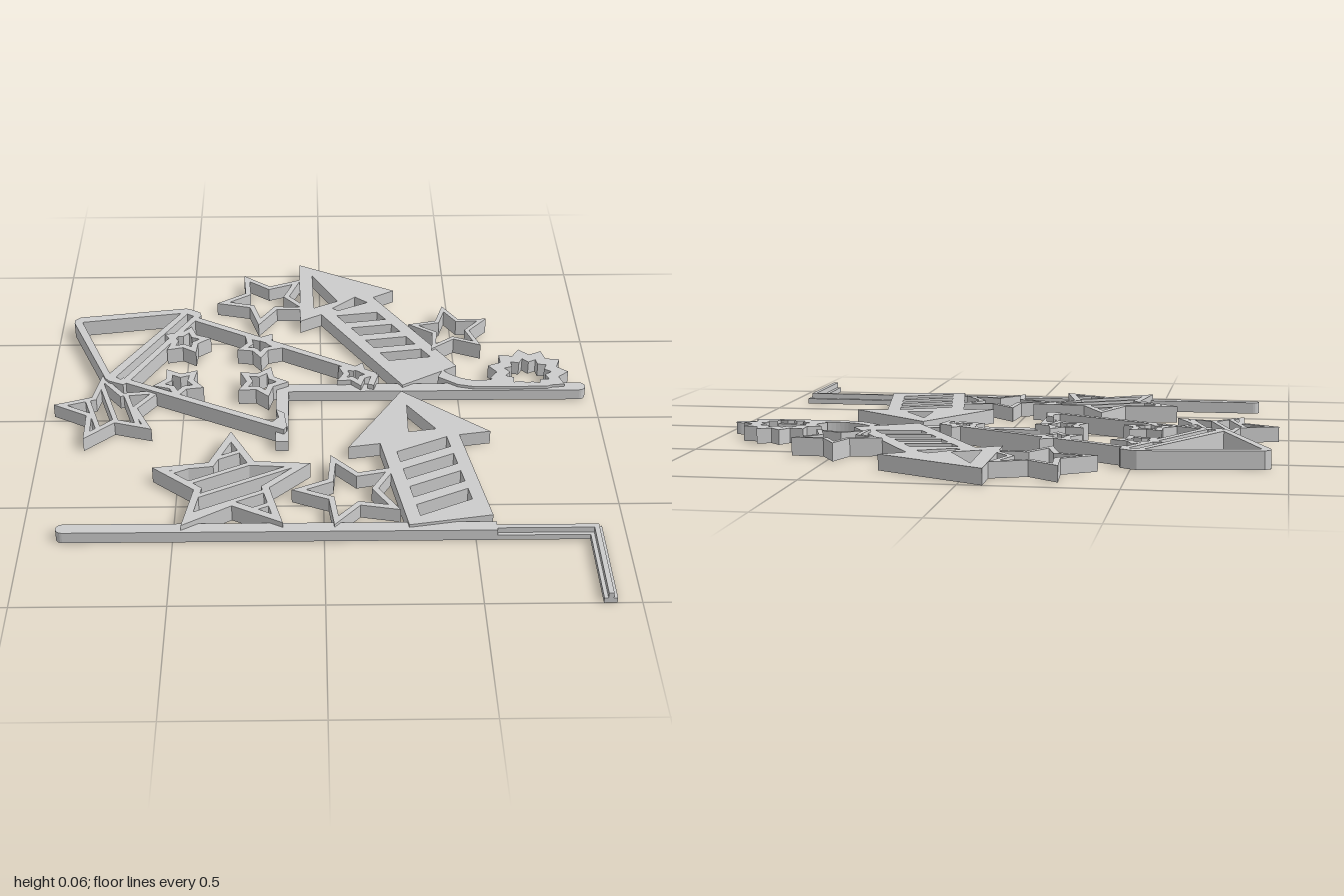
import * as THREE from 'three';

const LOW = 0.042, MID = 0.053, HIGH = 0.062;
const material = new THREE.MeshStandardMaterial({ color: 0xcccccc, flatShading: true });

// Points are [x, z] on the ground plane, wound one way so all walls face outward
function toVec(pts) {
  const v = pts.map(([x, z]) => new THREE.Vector2(x, -z));
  return THREE.ShapeUtils.isClockWise(v) ? v.reverse() : v;
}

// Flat plate rising from y = 0
function slab(name, outline, height, holes = []) {
  const shape = new THREE.Shape(toVec(outline));
  holes.forEach((h) => shape.holes.push(new THREE.Path(toVec(h).reverse())));
  const geo = new THREE.ExtrudeGeometry(shape, { depth: height, bevelEnabled: false });
  geo.rotateX(-Math.PI / 2);
  const mesh = new THREE.Mesh(geo, material);
  mesh.name = name;
  return mesh;
}

// Straight strip between two points
function strip(name, [ax, az], [bx, bz], width, height) {
  const len = Math.hypot(bx - ax, bz - az);
  const mesh = new THREE.Mesh(new THREE.BoxGeometry(len, height, width), material);
  mesh.position.set((ax + bx) / 2, height / 2, (az + bz) / 2);
  mesh.rotation.y = -Math.atan2(bz - az, bx - ax);
  mesh.name = name;
  return mesh;
}

// Points alternating between two radii
function starPoints(cx, cz, R, r, n, deg) {
  const pts = [];
  for (let i = 0; i < n * 2; i++) {
    const a = THREE.MathUtils.degToRad(deg) + (i * Math.PI) / n;
    const q = i % 2 ? r : R;
    pts.push([cx + q * Math.cos(a), cz + q * Math.sin(a)]);
  }
  return pts;
}

// Hollow five-pointed star with an even border
function star(name, cx, cz, R, deg, height, border = 0.02, ratio = 0.47) {
  const k = 1 - border / (0.407 * R);
  return slab(name, starPoints(cx, cz, R, R * ratio, 5, deg), height,
    [starPoints(cx, cz, R * k, R * k * ratio, 5, deg)]);
}

// Star crossed by parallel stripes, each cut off where it meets the border
function stripedStar(name, cx, cz, R, deg, height, border, stripeDeg, offsets) {
  const group = new THREE.Group();
  group.name = name;
  group.add(star('starFrame', cx, cz, R, deg, height, border));
  const a = THREE.MathUtils.degToRad(stripeDeg), c = Math.cos(a), s = Math.sin(a);
  const k = R - border;
  const local = starPoints(0, 0, k, k * 0.47, 5, deg).map(([x, z]) => [x * c + z * s, z * c - x * s]);
  for (const o of offsets) {
    const cuts = [];
    local.forEach(([t0, n0], i) => {
      const [t1, n1] = local[(i + 1) % local.length];
      if ((n0 < o) !== (n1 < o)) cuts.push(t0 + ((t1 - t0) * (o - n0)) / (n1 - n0));
    });
    cuts.sort((p, q) => p - q);
    const at = (t) => [cx + t * c - o * s, cz + t * s + o * c];
    for (let i = 0; i < cuts.length; i += 2) group.add(strip('stripe', at(cuts[i]), at(cuts[i + 1]), 0.018, height));
  }
  return group;
}

// Rocket: arrow outline with head openings and slanted body windows.
// Local coordinates are [across, distance back from the tip].
function rocket({ tip, tail, headLen, headW, bodyW, openings, windows, slant, first, pitch, gap }) {
  const dx = tail[0] - tip[0], dz = tail[1] - tip[1];
  const len = Math.hypot(dx, dz), ux = dx / len, uz = dz / len;
  const place = ([a, d]) => [tip[0] + ux * d + uz * a, tip[1] + uz * d - ux * a];
  const b = bodyW / 2, h = headW / 2, w = b - 0.047;
  const outline = [[0, 0], [h, headLen], [b, headLen], [b, len], [-b, len], [-b, headLen], [-h, headLen]];
  const holes = [...openings];
  for (let i = 0; i < windows; i++) {
    const d = first + i * pitch;
    holes.push([[-w, d - slant], [w, d + slant], [w, d + slant + gap], [-w, d - slant + gap]]);
  }
  return slab('rocket', outline.map(place), MID, holes.map((hole) => hole.map(place)));
}

// Bar with one rounded end
function roundedBar(name, x0, x1, z, width, roundRight) {
  const r = width / 2, pts = [];
  for (let i = 0; i <= 10; i++) {
    const a = -Math.PI / 2 + (Math.PI * i) / 10;
    pts.push([roundRight ? x1 - r + r * Math.cos(a) : x0 + r - r * Math.cos(a), z + r * Math.sin(a)]);
  }
  const flat = roundRight ? x0 : x1;
  pts.push([flat, z + r], [flat, z - r]);
  return slab(name, pts, LOW);
}

export function createModel() {
  const model = new THREE.Group();
  const add = (...parts) => model.add(...parts);

  // Rockets
  add(rocket({
    tip: [-0.08, -1], tail: [0.4, -0.2], headLen: 0.365, headW: 0.43, bodyW: 0.24,
    openings: [[[0, 0.1], [-0.015, 0.315], [-0.12, 0.31]],
      [[-0.06, 0.35], [0.06, 0.325], [0.08, 0.385], [-0.05, 0.375]]],
    windows: 4, slant: 0.03, first: 0.435, pitch: 0.102, gap: 0.06,
  }));
  add(rocket({
    tip: [0.29, -0.1], tail: [0.42, 0.645], headLen: 0.3, headW: 0.51, bodyW: 0.285,
    openings: [[[0, 0.09], [0.07, 0.25], [-0.03, 0.25]]],
    windows: 4, slant: -0.027, first: 0.33, pitch: 0.1, gap: 0.058,
  }));

  // Loose stars
  add(star('topStar', -0.21, -0.745, 0.195, -118, MID),
    star('rightStar', 0.495, -0.505, 0.16, -97, HIGH, 0.016),
    star('lowerStar', 0.092, 0.475, 0.2, -109, MID),
    stripedStar('bigStripedStar', -0.312, 0.44, 0.285, -92, HIGH, 0.025, -27, [-0.14, -0.06, 0.02, 0.1, 0.17]),
    stripedStar('leftStripedStar', -0.76, -0.01, 0.207, -103, MID, 0.02, 73, [-0.07, 0, 0.07]));

  // Flag head: rounded frame with a triangular opening and a slot
  add(slab('flagHead', [
    [-0.945, -0.56], [-0.945, -0.58], [-0.925, -0.6], [-0.52, -0.66], [-0.505, -0.655], [-0.465, -0.63],
    [-0.46, -0.61], [-0.705, -0.16], [-0.725, -0.14], [-0.78, -0.165], [-0.795, -0.185],
  ], HIGH, [
    [[-0.915, -0.565], [-0.54, -0.625], [-0.78, -0.215]],
    [[-0.515, -0.62], [-0.49, -0.605], [-0.73, -0.17], [-0.755, -0.19]],
  ]));

  // Pennant edges and tip
  add(strip('pennantEdge', [-0.49, -0.59], [0.2, -0.195], 0.026, HIGH),
    strip('pennantEdge', [-0.735, -0.175], [-0.13, 0.135], 0.026, HIGH),
    strip('pennantTip', [0.2, -0.2], [0.18, -0.13], 0.024, HIGH));

  // Small stars inside the pennant
  [[-0.51, -0.435, 0.095, -80], [-0.23, -0.4, 0.09, -130], [-0.52, -0.155, 0.098, -50],
    [-0.22, -0.155, 0.1, -70], [0.125, -0.2, 0.08, -140]]
    .forEach(([x, z, R, deg]) => add(star('pennantStar', x, z, R, deg, HIGH, 0.018, 0.55)));
  add(slab('pennantCutStar', [[-0.165, 0.02], [-0.135, 0.045], [-0.125, 0.13], [-0.18, 0.1], [-0.155, 0.07]], HIGH));

  // Upper stick with its short leg
  add(roundedBar('upperStick', -0.165, 0.968, -0.14, 0.048, true),
    strip('upperStickLeg', [-0.1425, -0.117], [-0.1425, 0.19], 0.045, LOW));

  // Swoosh running from the rocket into the stick
  const top = new THREE.QuadraticBezierCurve(
    new THREE.Vector2(0.45, -0.235), new THREE.Vector2(0.54, -0.13), new THREE.Vector2(0.66, -0.185));
  add(slab('swoosh', [...top.getPoints(14).map((p) => [p.x, p.y]),
    [0.68, -0.125], [0.56, -0.125], [0.5, -0.14], [0.43, -0.19]], MID));

  // Jagged burst sitting on the stick
  const burst = (R, r, floor) => starPoints(0.765, -0.22, R, r, 11, -98).map(([x, z]) => [x, Math.min(z, floor)]);
  add(slab('burst', burst(0.15, 0.115, -0.125), MID, [burst(0.088, 0.065, -0.148)]));

  // Lower stick ending in a stepped right-angle leg
  add(roundedBar('lowerStick', -0.885, 0.57, 0.664, 0.045, false));
  const corner = (name, o, height) => slab(name, [
    [0.57, 0.642 + o], [0.92 - o, 0.642 + o], [0.92 - o, 1],
    [0.877 + o, 1], [0.877 + o, 0.686 - o], [0.57, 0.686 - o]], height);
  add(corner('cornerFlange', 0, 0.02), corner('cornerRidge', 0.013, 0.04));

  return model;
}
